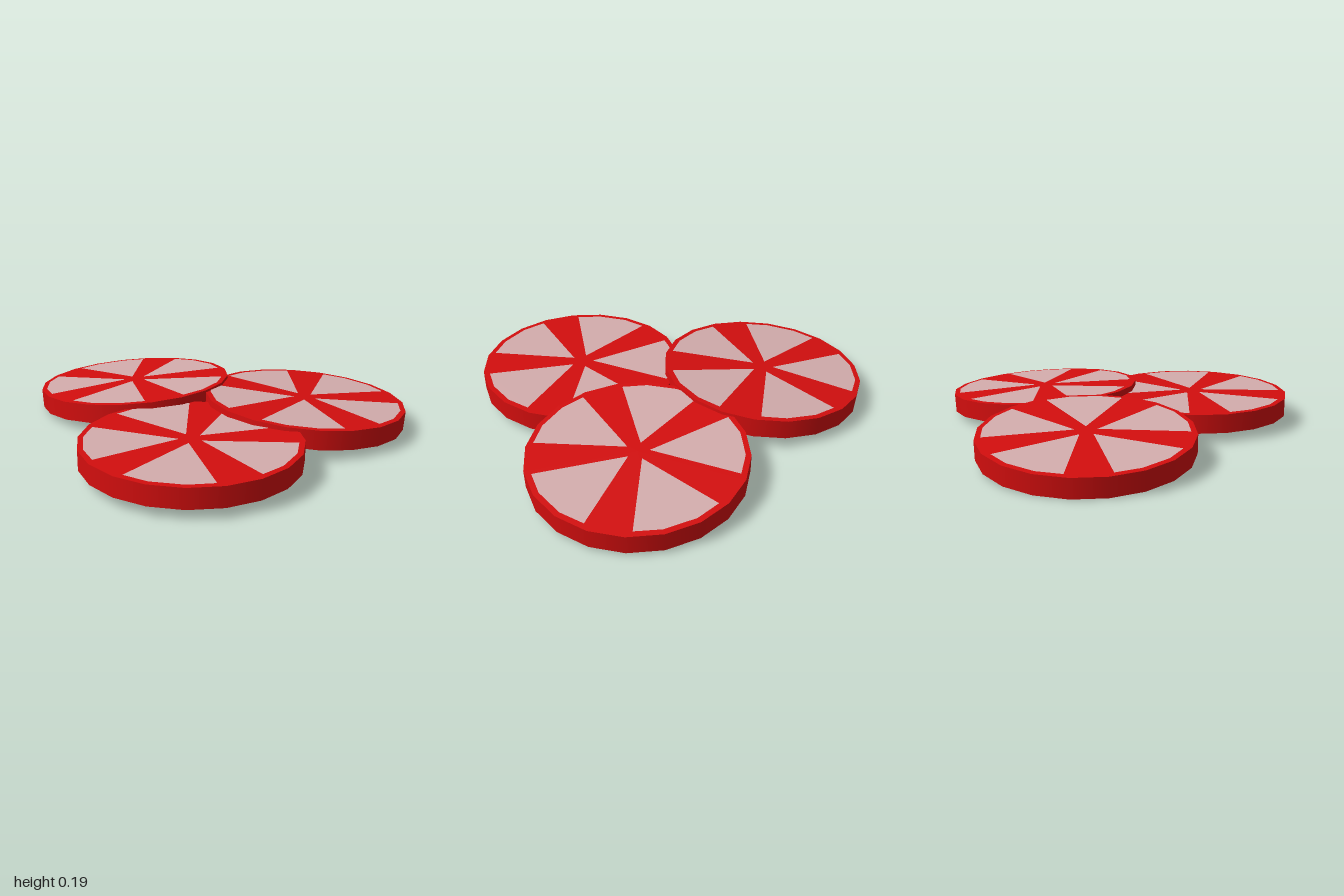
import * as THREE from 'three';

const RADIUS = 0.535, HEIGHT = 0.1, SIDES = 20;
const deg = THREE.MathUtils.degToRad;

const red = new THREE.MeshStandardMaterial({ color: 0xd40e0e });
const pale = new THREE.MeshStandardMaterial({ color: 0xd4adad });

// One pale wedge lying on the top face, centred on the given angle (from +x towards +z)
function wedgeGeometry(angle) {
  const corners = [[0, 0.057], [-23.7, 0.503], [-9, 0.508], [9, 0.508], [23.7, 0.503]];
  const points = corners.map(([a, r]) => {
    const t = deg(angle + a);
    return new THREE.Vector2(r * Math.cos(t), -r * Math.sin(t));
  });
  return new THREE.ShapeGeometry(new THREE.Shape(points)).rotateX(-Math.PI / 2);
}

// A round sweet: red body with five pale wedges
function makeSweet(name, position, rotation) {
  const sweet = new THREE.Group();
  sweet.name = name;

  const body = new THREE.Mesh(new THREE.CylinderGeometry(RADIUS, RADIUS, HEIGHT, SIDES), red);
  body.name = 'discBody';
  sweet.add(body);

  for (let i = 0; i < 5; i++) {
    const wedge = new THREE.Mesh(wedgeGeometry(63 + i * 72), pale);
    wedge.name = 'paleWedge';
    wedge.position.y = HEIGHT / 2 + 0.002;
    sweet.add(wedge);
  }

  sweet.position.set(...position);
  sweet.rotation.set(...rotation.map(deg));
  return sweet;
}

export function createModel() {
  const model = new THREE.Group();
  model.name = 'sweets';
  // One lies flat, the other two lean on their neighbours
  model.add(
    makeSweet('frontSweet', [0.365, 0.1, 0.425], [0, 0, 0]),
    makeSweet('rightSweet', [-0.465, 0.097, -0.11], [0, -2.7, 5]),
    makeSweet('backSweet', [0.463, 0.1, -0.432], [-3, 3, -2]),
  );
  return model;
}
